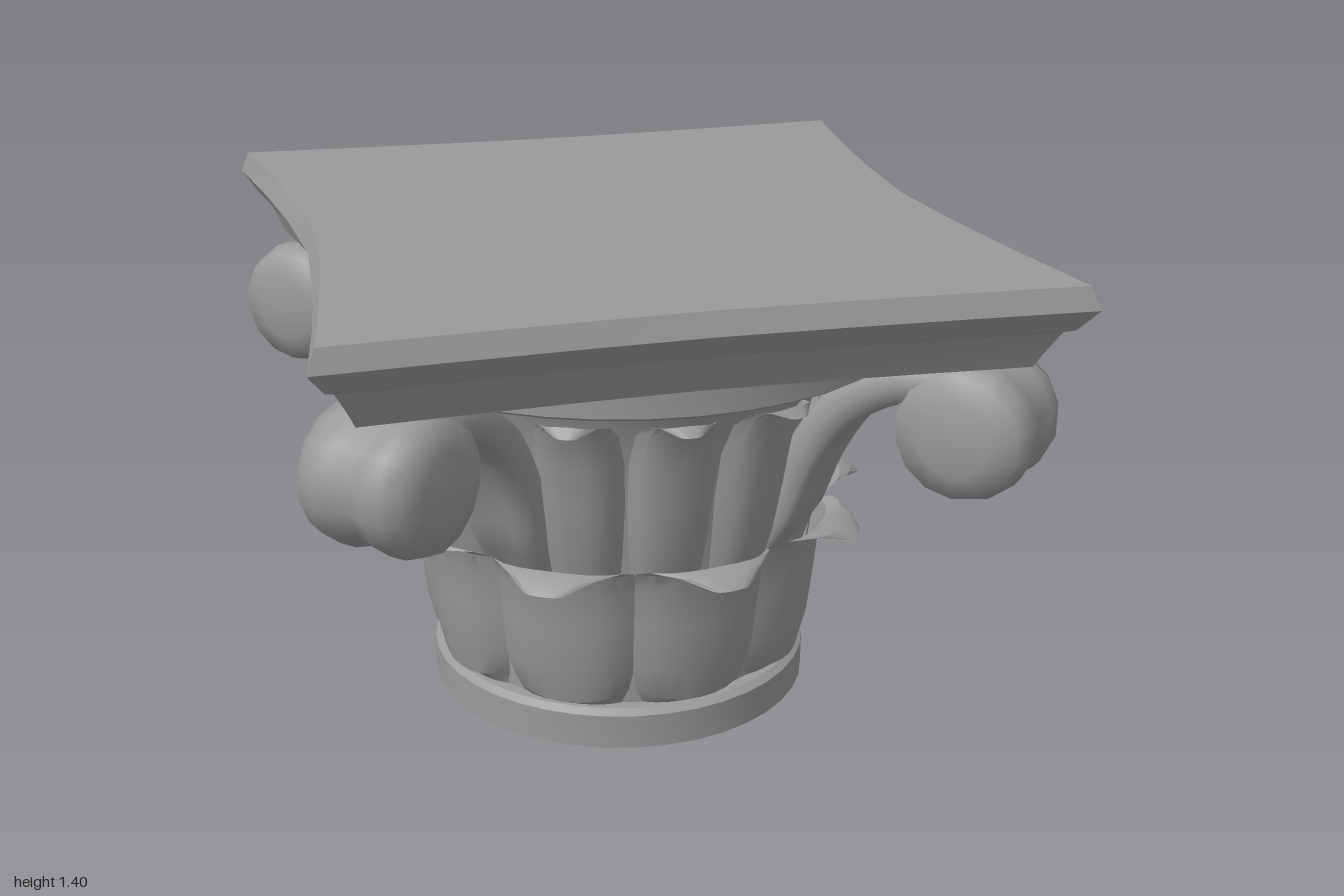
import * as THREE from 'three';
import { toCreasedNormals } from 'three/addons/utils/BufferGeometryUtils.js';

const stone = new THREE.MeshStandardMaterial({ color: 0x9a9a9a });
const stoneThin = new THREE.MeshStandardMaterial({ color: 0x9a9a9a, side: THREE.DoubleSide });

// Surface through (nu+1) x (nv+1) points given by fn(i, j) -> [x, y, z]
function grid(nu, nv, fn) {
  const pos = [], idx = [];
  for (let j = 0; j <= nv; j++) for (let i = 0; i <= nu; i++) pos.push(...fn(i, j));
  for (let j = 0; j < nv; j++) for (let i = 0; i < nu; i++) {
    const a = j * (nu + 1) + i, b = a + 1, c = a + nu + 1, d = c + 1;
    idx.push(a, b, d, a, d, c);
  }
  const g = new THREE.BufferGeometry();
  g.setAttribute('position', new THREE.Float32BufferAttribute(pos, 3));
  g.setIndex(idx);
  return g;
}

function add(parent, name, geometry, material = stone, crease = 0.6) {
  const m = new THREE.Mesh(toCreasedNormals(geometry, crease), material);
  m.name = name;
  parent.add(m);
  return m;
}

const lathe = (pts, seg) => new THREE.LatheGeometry(pts.map(p => new THREE.Vector2(...p)), seg);

// Domed leaf; each row is [radius, y, half angle, dome, sideDrop]
function leafGeometry(rows) {
  const nu = 8;
  return grid(nu, rows.length - 1, (i, j) => {
    const s = 1 - (2 * i) / nu;
    const [r, y, half, dome, drop] = rows[j];
    const a = s * half;
    const rad = r - dome * s * s * Math.abs(s);
    return [rad * Math.cos(a), y - drop * s * s, rad * Math.sin(a)];
  });
}

// Abacus: concave-sided slab, one loop of points per moulding level
function abacusGeometry() {
  // [y, inset, scale]
  const levels = [
    [1.165, 0.115, 0], [1.165, 0.115, 1], [1.2, 0.1, 1], [1.27, 0.065, 1], [1.28, 0.042, 1],
    [1.34, 0, 1], [1.4, 0.022, 1], [1.4, 0.022, 0]];
  const n = 6;
  return grid(4 * n, levels.length - 1, (i, j) => {
    const [y, inset, k] = levels[j];
    const side = Math.floor(i / n) % 4, t = 1 - (2 * (i % n)) / n;
    const bow = Math.pow(Math.abs(t), 1.45);
    const cx = 0.975 - inset, cz = 1 - inset;
    const x = cx - 0.105 * (1 - bow), z = cz - 0.04 * (1 - bow);
    const p = [[x, t * cz], [t * cx, -z], [-x, -t * cz], [-t * cx, z]][side];
    return [p[0] * k, y, p[1] * k];
  });
}

// Stalk: grooved band swept up and outward from the bell to the scroll
function stalkGeometry() {
  const curve = new THREE.CatmullRomCurve3([
    [0.52, 0.5], [0.575, 0.66], [0.64, 0.83], [0.74, 0.98], [0.89, 1.08], [1.06, 1.11],
  ].map(([d, y]) => new THREE.Vector3(d, y, 0)));
  const nv = 16, nu = 20;
  return grid(nu, nv, (i, j) => {
    const t = j / nv, p = curve.getPoint(t), tan = curve.getTangent(t);
    const f = (i % nu) / nu * Math.PI * 2, c = Math.cos(f), s = Math.sin(f);
    const groove = 1 - 0.4 * Math.exp(-14 * s * s);
    const depth = 0.065 * Math.min(1, 0.3 + 4 * t);
    const thick = depth * Math.sign(c) * Math.pow(Math.abs(c), 0.6) * groove;
    const w = -(0.11 + 0.04 * t) * Math.sign(s) * Math.pow(Math.abs(s), 0.8);
    return [p.x + tan.y * thick, p.y - tan.x * thick, w];
  });
}

export function createModel() {
  const model = new THREE.Group();
  model.name = 'columnCapital';

  // Round base ring, bell body and projecting lip
  add(model, 'baseRing', lathe([[0, 0], [0.555, 0], [0.555, 0.1], [0.535, 0.115], [0, 0.115]], 40));
  add(model, 'bell', lathe([
    [0.5, 0.1], [0.505, 0.3], [0.52, 0.55], [0.545, 0.8], [0.575, 0.95], [0.61, 1.03],
    [0.81, 1.08], [0.825, 1.09], [0.825, 1.175], [0, 1.175]], 40));

  add(model, 'abacus', abacusGeometry(), stone, 0.25);

  // Lower row of nine broad leaves with curled tips
  const lower = new THREE.Group();
  lower.name = 'lowerLeaves';
  const lowerLeaf = leafGeometry([
    [0.52, 0.115, 0.29, 0.02, 0], [0.555, 0.135, 0.33, 0.04, -0.03], [0.58, 0.24, 0.355, 0.045, 0],
    [0.595, 0.38, 0.37, 0.045, 0], [0.605, 0.49, 0.365, 0.04, 0], [0.625, 0.555, 0.345, 0.035, 0],
    [0.67, 0.59, 0.29, 0.04, 0.015], [0.71, 0.58, 0.18, 0.03, 0.005], [0.745, 0.55, 0.07, 0.01, 0]]);
  for (let k = 0; k < 9; k++)
    add(lower, 'lowerLeaf', lowerLeaf, stoneThin).rotation.y = -k * Math.PI * 2 / 9;
  model.add(lower);

  // Upper row: three slim leaves on each side, between the stalks
  const upper = new THREE.Group();
  upper.name = 'upperLeaves';
  const upperLeaf = leafGeometry([
    [0.55, 0.45, 0.18, 0.04, 0], [0.6, 0.6, 0.2, 0.055, 0], [0.63, 0.75, 0.21, 0.06, 0],
    [0.655, 0.88, 0.205, 0.06, 0], [0.68, 0.97, 0.18, 0.05, 0], [0.705, 1.015, 0.145, 0.04, 0.01],
    [0.735, 1.03, 0.1, 0.02, 0.01], [0.76, 1.005, 0.04, 0.01, 0]]);
  for (let side = 0; side < 4; side++) for (const off of [-1, 0, 1])
    add(upper, 'upperLeaf', upperLeaf, stoneThin).rotation.y = side * Math.PI / 2 + off * 0.43;
  model.add(upper);

  // Corner stalks ending in puffy waisted scrolls, one on each diagonal
  const half = [[0.172, 0], [0.187, 0.05], [0.187, 0.1], [0.167, 0.153], [0.1, 0.175], [0, 0.182]];
  const profile = [...half.slice(1).reverse().map(([r, y]) => [r, -y]), ...half];
  const scroll = lathe(profile, 14).rotateX(Math.PI / 2);
  const stalk = stalkGeometry();
  for (let k = 0; k < 4; k++) {
    const corner = new THREE.Group();
    corner.name = 'cornerScroll';
    corner.rotation.y = Math.PI / 4 + k * Math.PI / 2;
    add(corner, 'stalk', stalk, stoneThin, 0.9);
    add(corner, 'scroll', scroll, stone, 1.1).position.set(1.09, 0.985, 0);
    model.add(corner);
  }
  return model;
}
